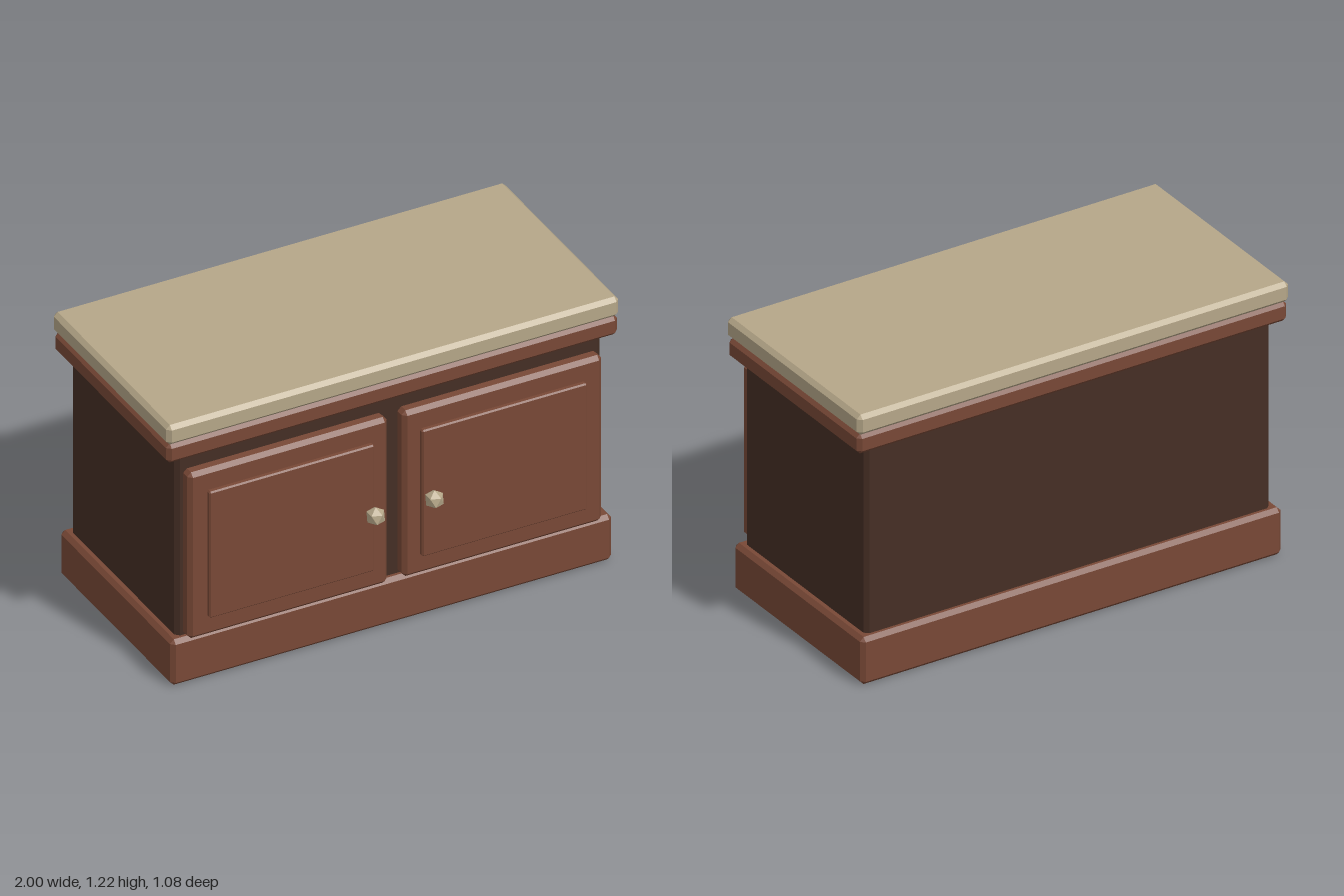
import * as THREE from 'three';
import { ConvexGeometry } from 'three/addons/geometries/ConvexGeometry.js';

const material = (name, color) => {
  const m = new THREE.MeshStandardMaterial({ color });
  m.name = name;
  return m;
};

// Box between two corners with every edge chamfered by c (flat facets)
function chamferBox([x0, y0, z0], [x1, y1, z1], c) {
  const half = new THREE.Vector3(x1 - x0, y1 - y0, z1 - z0).multiplyScalar(0.5);
  const points = [];
  for (const sx of [-1, 1]) for (const sy of [-1, 1]) for (const sz of [-1, 1]) {
    // each corner becomes three points, one on each adjoining face
    for (const axis of [0, 1, 2]) {
      const inset = [0, 1, 2].map((i) => (i === axis ? 0 : c));
      points.push(new THREE.Vector3(
        sx * (half.x - inset[0]), sy * (half.y - inset[1]), sz * (half.z - inset[2])));
    }
  }
  return new ConvexGeometry(points).translate((x0 + x1) / 2, (y0 + y1) / 2, (z0 + z1) / 2);
}

export function createModel() {
  const wood = material('red wood', 0x784836);
  const darkWood = material('dark wood', 0x452e24);
  const stone = material('beige stone', 0xb5a688);

  const model = new THREE.Group();
  model.name = 'cabinet';
  const add = (parent, name, geometry, mat) => {
    const mesh = new THREE.Mesh(geometry, mat);
    mesh.name = name;
    parent.add(mesh);
    return mesh;
  };

  // Carcass, plinth, cornice and worktop
  add(model, 'body', chamferBox([-0.94, 0, -0.495], [0.94, 1.08, 0.375], 0.017), darkWood);
  add(model, 'plinth', chamferBox([-0.975, 0.002, -0.525], [0.975, 0.212, 0.405], 0.017), wood);
  add(model, 'cornice', chamferBox([-0.997, 1.042, -0.533], [0.997, 1.131, 0.413], 0.017), wood);
  add(model, 'worktop', chamferBox([-1, 1.13, -0.541], [1, 1.22, 0.419], 0.017), stone);

  // Pair of doors, each with a raised panel and a faceted knob
  for (const side of [-1, 1]) {
    const door = new THREE.Group();
    door.name = side > 0 ? 'leftDoor' : 'rightDoor';
    model.add(door);
    const board = (name, xIn, xOut, y0, y1, z0, z1, c) => {
      const [a, b] = [side * xIn, side * xOut].sort((p, q) => p - q);
      add(door, name, chamferBox([a, y0, z0], [b, y1, z1], c), wood);
    };
    board('doorBoard', 0.033, 0.915, 0.217, 0.984, 0.368, 0.435, 0.017);
    board('doorPanel', 0.105, 0.835, 0.308, 0.892, 0.41, 0.456, 0.006);

    // one vertex of the icosahedron points straight up
    const knobShape = new THREE.IcosahedronGeometry(0.041, 0)
      .rotateZ(-Math.atan2(2, 1 + Math.sqrt(5)));
    add(door, 'knob', knobShape, stone).position.set(side * 0.13, 0.6, 0.509);
  }
  return model;
}
